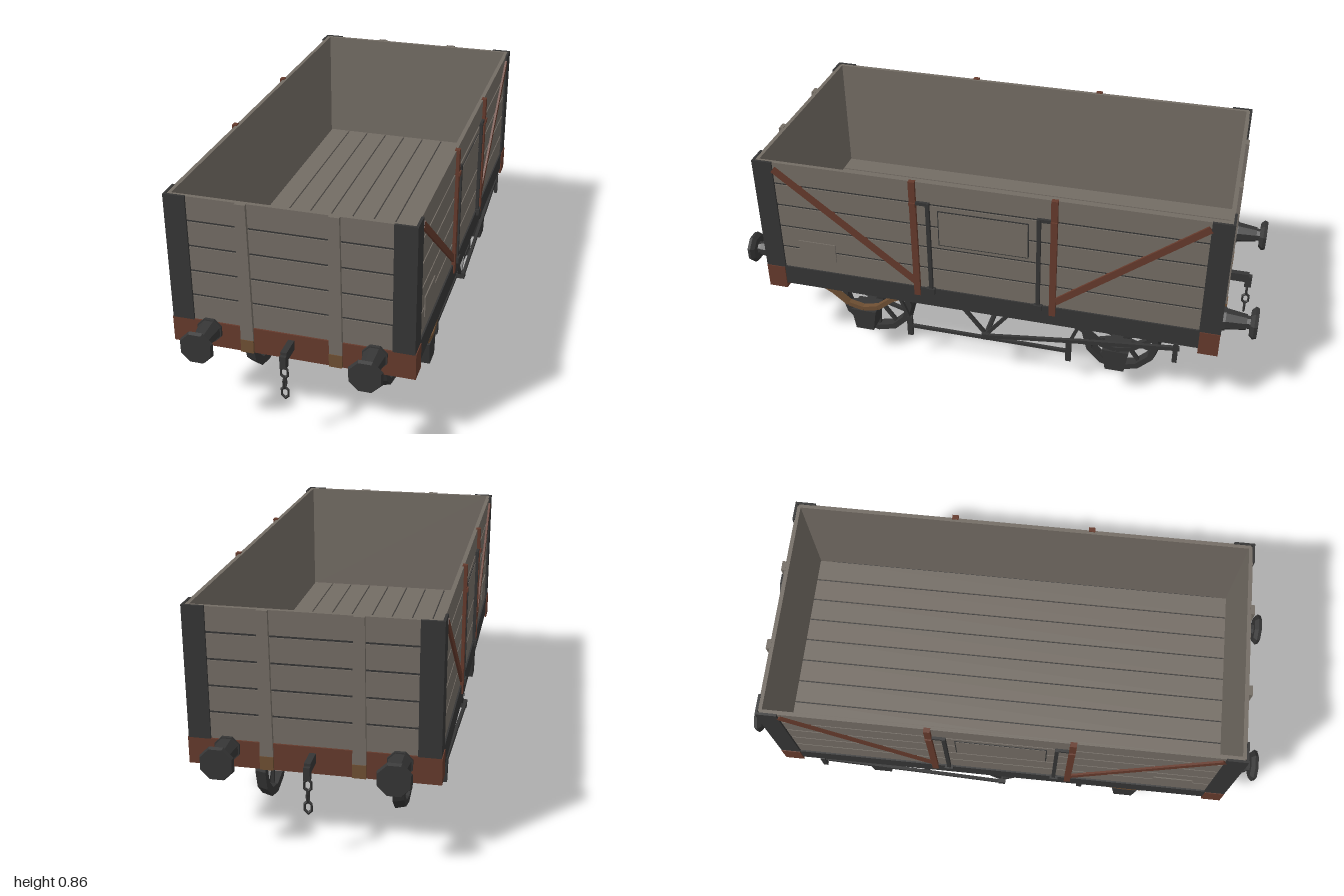
import * as THREE from 'three';

const mat = (name, color) => {
  const m = new THREE.MeshStandardMaterial({ color, flatShading: true });
  m.name = name;
  return m;
};

export function createModel() {
  const wood = mat('weathered wood', 0x736c64);
  const iron = mat('dark iron', 0x353535);
  const rust = mat('rusty red', 0x653a2c);
  const tan = mat('bare timber', 0x6e4f33);
  const root = new THREE.Group();
  root.name = 'openWagon';

  const add = (name, geo, m, x = 0, y = 0, z = 0) => {
    const mesh = new THREE.Mesh(geo, m);
    mesh.name = name;
    mesh.position.set(x, y, z);
    root.add(mesh);
    return mesh;
  };
  // box given by its limits on each axis
  const box = (name, m, x0, x1, y0, y1, z0, z1) =>
    add(name, new THREE.BoxGeometry(Math.abs(x1 - x0), Math.abs(y1 - y0), Math.abs(z1 - z0)), m,
      (x0 + x1) / 2, (y0 + y1) / 2, (z0 + z1) / 2);
  // bar lying in a side plane, from [z, y] to [z, y]
  const bar = (name, m, x, a, b, thick, width) => {
    const p = new THREE.Vector3(x, a[1], a[0]), q = new THREE.Vector3(x, b[1], b[0]);
    const mid = p.clone().add(q).multiplyScalar(0.5);
    const mesh = add(name, new THREE.BoxGeometry(width, thick, p.distanceTo(q)), m, mid.x, mid.y, mid.z);
    mesh.lookAt(q);
    return mesh;
  };
  // cylinder along x or z, r0 at the negative end
  const rod = (name, m, r0, r1, len, sides, axis, x, y, z) => {
    const g = new THREE.CylinderGeometry(r1, r0, len, sides);
    g.rotateY(Math.PI / sides);
    if (axis === 'x') g.rotateZ(-Math.PI / 2); else g.rotateX(Math.PI / 2);
    return add(name, g, m, x, y, z);
  };

  // floor: base with nine raised boards and dark gaps
  box('floorBase', wood, -0.41, 0.41, 0.322, 0.385, -0.85, 0.85);
  box('floorGaps', iron, -0.405, 0.405, 0.385, 0.392, -0.855, 0.855);
  for (let i = -4; i <= 4; i++)
    box('floorBoard', wood, i * 0.09 - 0.0422, i * 0.09 + 0.0422, 0.386, 0.398, -0.855, 0.855);

  // walls: smooth inner lining, outer boards and dark joints
  const joints = [0.39, 0.487, 0.581, 0.675, 0.768, 0.857];
  for (const s of [1, -1]) {
    box('sideWall', wood, s * 0.405, s * 0.413, 0.385, 0.857, -0.866, 0.866);
    box('endWall', wood, -0.41, 0.41, 0.385, 0.857, s * 0.852, s * 0.861);
    for (let i = 0; i < 5; i++) {
      const y0 = joints[i] + (i ? 0.004 : 0), y1 = joints[i + 1] - (i < 4 ? 0.004 : 0);
      box('sideBoard', wood, s * 0.412, s * 0.42, y0, y1, -0.86, 0.86);
      box('endBoard', wood, -0.41, 0.41, y0, y1, s * 0.86, s * 0.867);
      if (!i) continue;
      box('sideJoint', iron, s * 0.412, s * 0.416, y0 - 0.009, y0 + 0.001, -0.86, 0.86);
      box('endJoint', iron, -0.41, 0.41, y0 - 0.009, y0 + 0.001, s * 0.86, s * 0.863);
    }
  }

  // corner plates
  for (const s of [1, -1]) for (const e of [1, -1]) {
    box('cornerPlateEnd', iron, s * 0.35, s * 0.427, 0.39, 0.859, e * 0.865, e * 0.874);
    box('cornerPlateSide', iron, s * 0.418, s * 0.427, 0.39, 0.859, e * 0.797, e * 0.874);
  }

  for (const e of [1, -1]) {
    // headstock: full-height beam outside the walls, kept below the floor inside
    box('headstock', rust, -0.43, 0.43, 0.294, 0.384, e * 0.8, e * 0.873);
    box('headstockFace', rust, -0.43, 0.43, 0.38, 0.391, e * 0.863, e * 0.873);
    for (const s of [1, -1]) {
      box('headstockEnd', rust, s * 0.412, s * 0.43, 0.38, 0.391, e * 0.8, e * 0.873);

      // tapered end post
      const post = new THREE.BoxGeometry(0.046, 0.513, 0.016);
      const p = post.attributes.position;
      for (let i = 0; i < p.count; i++) if (p.getY(i) > 0) p.setX(i, p.getX(i) * 0.8);
      add('endPost', post, wood, s * 0.157, 0.6015, e * 0.872);
      box('endPostFoot', tan, s * 0.134, s * 0.18, 0.296, 0.345, e * 0.864, e * 0.882);

      // buffer: flange, tapered housing, ram and bevelled head
      const x = s * 0.292, y = 0.362;
      const taper = (name, inner, outer, len, z) =>
        rod(name, iron, e > 0 ? inner : outer, e > 0 ? outer : inner, len, 8, 'z', x, y, e * z);
      taper('bufferFlange', 0.046, 0.046, 0.012, 0.878);
      taper('bufferHousing', 0.042, 0.03, 0.08, 0.92);
      taper('bufferRam', 0.025, 0.025, 0.03, 0.966);
      taper('bufferHead', 0.05, 0.063, 0.014, 0.98);
      taper('bufferFace', 0.063, 0.058, 0.013, 0.9935);
    }

    // drawhook and three chain links
    box('drawHook', iron, -0.011, 0.011, 0.335, 0.37, e * 0.87, e * 0.95);
    box('drawHookTip', iron, -0.011, 0.011, 0.312, 0.36, e * 0.936, e * 0.962);
    [0.291, 0.25, 0.21].forEach((y, i) => {
      const link = add('chainLink', new THREE.TorusGeometry(0.0135, 0.0045, 4, 6), iron, 0, y, e * 0.948);
      link.geometry.rotateZ(Math.PI / 6);
      link.scale.y = 1.65;
      link.rotation.y = i === 1 ? Math.PI / 2 : 0;
    });
  }

  for (const s of [1, -1]) {
    // sole bar, number panel and edged door panel
    box('soleBar', iron, s * 0.395, s * 0.426, 0.315, 0.395, -0.8, 0.8);
    box('numberPanel', wood, s * 0.412, s * 0.424, 0.448, 0.525, 0.582, 0.73);
    box('doorPanelEdge', iron, s * 0.412, s * 0.4225, 0.598, 0.747, -0.168, 0.17);
    box('doorPanel', wood, s * 0.412, s * 0.424, 0.602, 0.743, -0.164, 0.166);
    for (const e of [1, -1]) {
      bar('diagonalStrap', rust, s * 0.422, [e * 0.795, 0.83], [e * 0.26, 0.415], 0.026, 0.012);
      box('doorPost', rust, s * 0.414, s * 0.432, 0.36, 0.86, e * 0.248, e * 0.272);
      box('doorHinge', iron, s * 0.414, s * 0.432, 0.375, 0.775, e * 0.198, e * 0.212);
      box('hingeTop', iron, s * 0.414, s * 0.43, 0.765, 0.778, e * 0.198, e * 0.25);
      box('hingeKnuckle', iron, s * 0.414, s * 0.437, 0.375, 0.4, e * 0.19, e * 0.222);
      box('latch', rust, s * 0.42, s * 0.437, 0.76, 0.775, e * 0.248, e * 0.272);
    }

    for (const e of [1, -1]) {
      // spoked wheel
      const z = e * 0.5, y = 0.163;
      const profile = [[0.16, -0.02], [0.15, 0.02], [0.126, 0.02], [0.126, -0.02], [0.16, -0.02]];
      const rim = add('wheelRim', new THREE.LatheGeometry(profile.map(p => new THREE.Vector2(...p)), 12), iron, s * 0.25, y, z);
      rim.rotation.z = -s * Math.PI / 2;
      for (let i = 0; i < 10; i++) {
        const a = (i + 0.5) * Math.PI / 5, c = Math.cos(a), d = Math.sin(a);
        bar('spoke', iron, s * 0.25, [z + c * 0.02, y + d * 0.02], [z + c * 0.13, y + d * 0.13], 0.013, 0.014);
      }
      rod('wheelHub', iron, 0.036, 0.036, 0.05, 8, 'x', s * 0.25, y, z);

      // axle box, narrower below
      rod('journal', iron, 0.036, 0.036, 0.055, 8, 'x', s * 0.298, 0.17, z);
      const axleBox = new THREE.BoxGeometry(0.087, 0.09, 0.1);
      const p = axleBox.attributes.position;
      for (let i = 0; i < p.count; i++) if (p.getY(i) < 0) p.setZ(i, p.getZ(i) * 0.72);
      add('axleBox', axleBox, iron, s * 0.3615, 0.17, z);

      // leaf spring
      const m = e > 0 ? tan : iron;
      const leaf = [[-0.165, 0.315], [-0.12, 0.29], [-0.06, 0.24], [0, 0.226], [0.06, 0.24], [0.12, 0.29], [0.165, 0.315]];
      for (let i = 0; i < 6; i++)
        bar('leafSpring', m, s * 0.395, [z + leaf[i][0], leaf[i][1]], [z + leaf[i + 1][0], leaf[i + 1][1]], 0.018, 0.022);

      // brake block with its hanger, and V hanger leg
      box('brakeBlock', iron, s * 0.372, s * 0.386, 0.115, 0.205, e * 0.307, e * 0.328);
      bar('brakeHanger', iron, s * 0.379, [e * 0.365, 0.318], [e * 0.317, 0.195], 0.012, 0.012);
      bar('vHangerLeg', iron, s * 0.405, [e * 0.095, 0.32], [0, 0.2], 0.013, 0.012);
    }

    // brake rod, lever and lever guide
    box('brakeRod', iron, s * 0.373, s * 0.385, 0.154, 0.166, -0.315, 0.315);
    box('vHangerFoot', iron, s * 0.395, s * 0.425, 0.188, 0.213, -0.014, 0.014);
    bar('brakeLever', iron, s * 0.419, [0, 0.203], [-0.36, 0.25], 0.014, 0.012);
    bar('brakeLever', iron, s * 0.419, [-0.36, 0.25], [-0.735, 0.293], 0.016, 0.012);
    box('leverGuide', iron, s * 0.417, s * 0.43, 0.232, 0.32, -0.73, -0.712);
  }

  // axles and brake cross shaft
  for (const z of [0.5, -0.5]) rod('axle', iron, 0.031, 0.031, 0.56, 8, 'x', 0, 0.173, z);
  rod('brakeShaft', iron, 0.01, 0.01, 0.82, 6, 'x', 0, 0.2, 0);

  return root;
}
